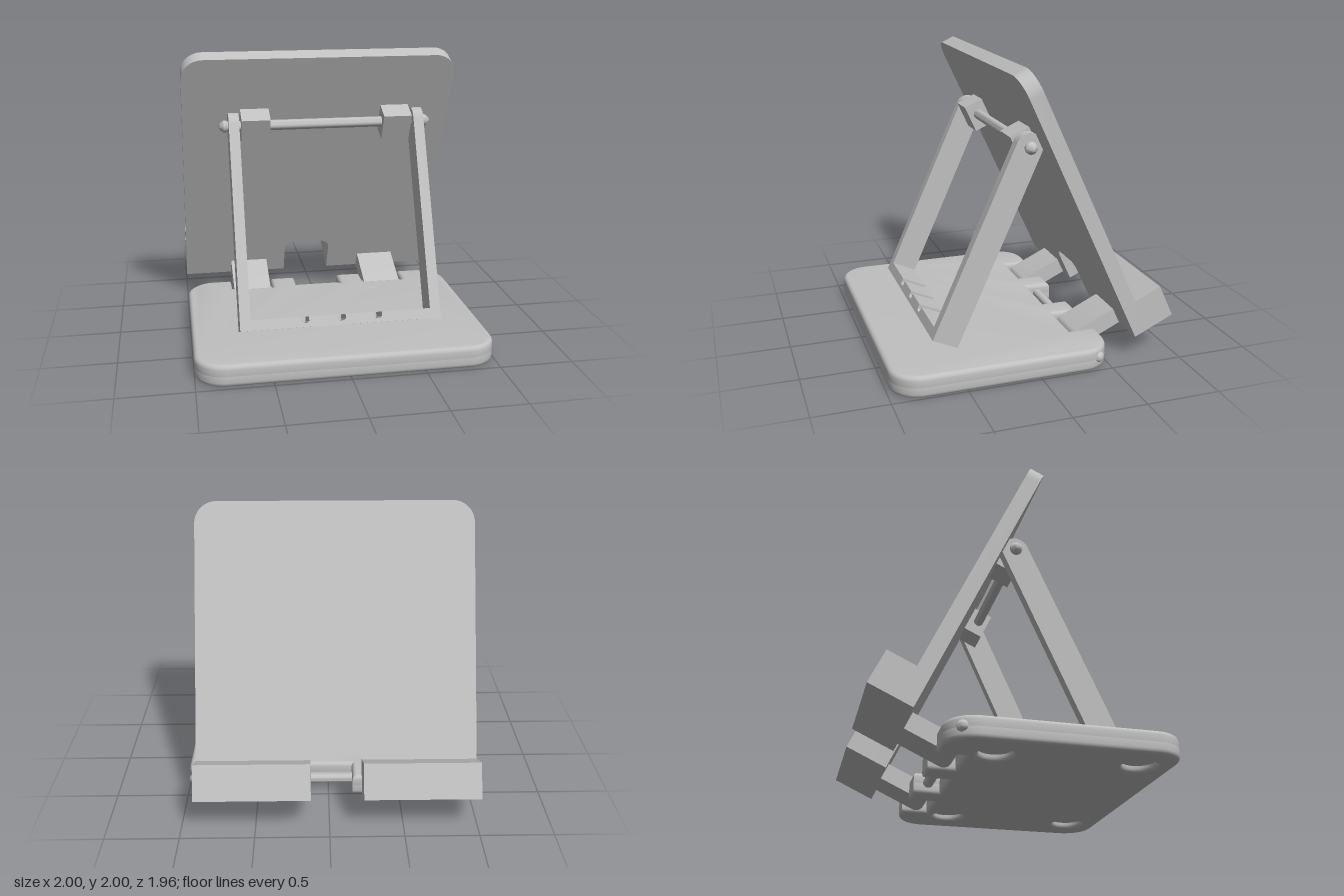
import * as THREE from 'three';
import { toCreasedNormals } from 'three/addons/utils/BufferGeometryUtils.js';

const gray = new THREE.MeshStandardMaterial({ color: 0xc0c0c0 });

function add(parent, name, geometry, x = 0, y = 0, z = 0) {
  const mesh = new THREE.Mesh(geometry, gray);
  mesh.name = name;
  mesh.position.set(x, y, z);
  parent.add(mesh);
  return mesh;
}

function extrude(shape, depth) {
  const geo = new THREE.ExtrudeGeometry(shape, { depth, bevelEnabled: false, curveSegments: 10 });
  return toCreasedNormals(geo, 0.6);
}

// Side profile drawn in (z, y), extruded along x and centred on it
function sideExtrude(shape, width) {
  return extrude(shape, width).translate(0, 0, -width / 2).rotateY(-Math.PI / 2);
}

// Pin along x with small stepped, tapered ends
function pin(radius, halfLength) {
  const h = halfLength, r = radius;
  const half = [[0, h], [0.012, h], [0.024, h - 0.008], [r * 1.15, h - 0.03], [r * 1.15, h - 0.05], [r, h - 0.055]];
  const points = [...half.map(([a, b]) => [a, -b]), ...half.slice().reverse()];
  const geo = new THREE.LatheGeometry(points.map(([a, b]) => new THREE.Vector2(a, b)), 24);
  return toCreasedNormals(geo.rotateZ(-Math.PI / 2), 0.6);
}

// Base outline; the notches along the back edge take the hinge arms and show the pin
function baseShape() {
  const s = new THREE.Shape();
  const back = 0.51, front = -0.98, r = 0.2;
  s.moveTo(-1 + r, front);
  s.lineTo(1 - r, front);
  s.absarc(1 - r, front + r, r, -Math.PI / 2, 0);
  s.lineTo(1, back - r);
  s.absarc(1 - r, back - r, r, 0, Math.PI / 2);
  for (const [a, b] of [[0.665, 0.355], [0.17, -0.17], [-0.355, -0.665]]) {
    s.lineTo(a, back);
    s.lineTo(a, 0.33);
    s.lineTo(b, 0.33);
    s.lineTo(b, back);
  }
  s.lineTo(-1 + r, back);
  s.absarc(-1 + r, back - r, r, Math.PI / 2, Math.PI);
  s.lineTo(-1, front + r);
  s.absarc(-1 + r, front + r, r, Math.PI, Math.PI * 1.5);
  return s;
}

function baseSlab(shape, height) {
  const b = 0.03;
  const geo = new THREE.ExtrudeGeometry(shape, {
    depth: height - 2 * b, bevelThickness: b, bevelSize: b, bevelOffset: -b, bevelSegments: 4, curveSegments: 14,
  });
  return toCreasedNormals(geo.translate(0, 0, b).rotateX(-Math.PI / 2), 0.6);
}

function makeBase() {
  const base = new THREE.Group();
  base.name = 'base';
  add(base, 'baseTop', baseSlab(baseShape(), 0.105), 0, 0.045, 0);
  // Lower slab has four round recesses for feet
  const lower = baseShape();
  for (const x of [-0.72, 0.72]) for (const y of [0.16, -0.76]) {
    lower.holes.push(new THREE.Path().absarc(x, y, 0.11, 0, Math.PI * 2, true));
  }
  add(base, 'baseBottom', baseSlab(lower, 0.105));
  add(base, 'basePin', pin(0.035, 0.995), 0, 0.08, -0.41);
  return base;
}

function makePanel() {
  const panel = new THREE.Group();
  panel.name = 'panel';
  panel.position.set(0, 0.15, -0.71);
  panel.rotation.x = THREE.MathUtils.degToRad(25);

  // Back rest with rounded top corners and a cable cutout
  const L = -1, R = 0.9, H = 1.995, r = 0.15, cl = -0.225, cr = 0.125, ch = 0.287, k = 0.065;
  const s = new THREE.Shape();
  s.moveTo(L, 0);
  s.lineTo(cl, 0);
  s.lineTo(cl, ch - k);
  s.absarc(cl + k, ch - k, k, Math.PI, Math.PI / 2, true);
  s.absarc(cr - k, ch - k, k, Math.PI / 2, 0, true);
  s.lineTo(cr, 0);
  s.lineTo(R, 0);
  s.lineTo(R, H - r);
  s.absarc(R - r, H - r, r, 0, Math.PI / 2);
  s.absarc(L + r, H - r, r, Math.PI / 2, Math.PI);
  add(panel, 'backRest', extrude(s, 0.1), 0, 0, -0.1);

  // Lip halves
  for (const [a, b] of [[L, cl], [cr, R]]) {
    add(panel, 'lip', new THREE.BoxGeometry(b - a, 0.24, 0.2), (a + b) / 2, 0.12, -0.2);
  }

  // Hinge arms with round ends, and blocks that hold the upper rod
  const arm = new THREE.Shape();
  arm.moveTo(0, 0);
  arm.lineTo(0.3, 0);
  arm.absarc(0.3, 0.06, 0.06, -Math.PI / 2, Math.PI / 2);
  arm.lineTo(0, 0.12);
  for (const side of [-1, 1]) {
    add(panel, 'hingeArm', sideExtrude(arm, 0.28), side * 0.51, 0, 0);
    add(panel, 'rodBlock', new THREE.BoxGeometry(0.2, 0.2, 0.142), side * 0.5, 1.49, 0.071);
  }
  return panel;
}

function makeSupport() {
  const support = new THREE.Group();
  support.name = 'support';
  support.position.set(0, 1.478, -0.012);
  support.rotation.x = THREE.MathUtils.degToRad(-24.2);
  const w = 0.0925, bottom = -1.41, top = bottom + 0.07;

  // Legs rounded at the rod
  const leg = new THREE.Shape();
  leg.moveTo(-w, bottom);
  leg.lineTo(w, bottom);
  leg.lineTo(w, 0);
  leg.absarc(0, 0, w, 0, Math.PI);
  for (const side of [-1, 1]) add(support, 'supportLeg', sideExtrude(leg, 0.072), side * 0.651, 0, 0);

  // Crossbar with three notches
  const bar = new THREE.Shape();
  bar.moveTo(-0.615, bottom);
  bar.lineTo(0.615, bottom);
  bar.lineTo(0.615, top);
  for (const x of [0.25, 0, -0.25]) {
    bar.lineTo(x + 0.027, top);
    bar.lineTo(x + 0.027, top - 0.03);
    bar.lineTo(x + 0.015, top - 0.042);
    bar.lineTo(x - 0.015, top - 0.042);
    bar.lineTo(x - 0.027, top - 0.03);
    bar.lineTo(x - 0.027, top);
  }
  bar.lineTo(-0.615, top);
  add(support, 'crossbar', extrude(bar, 2 * w), 0, 0, -w);

  add(support, 'upperRod', pin(0.036, 0.75));
  return support;
}

export function createModel() {
  const model = new THREE.Group();
  model.name = 'foldingStand';
  model.add(makeBase(), makePanel(), makeSupport());
  return model;
}
